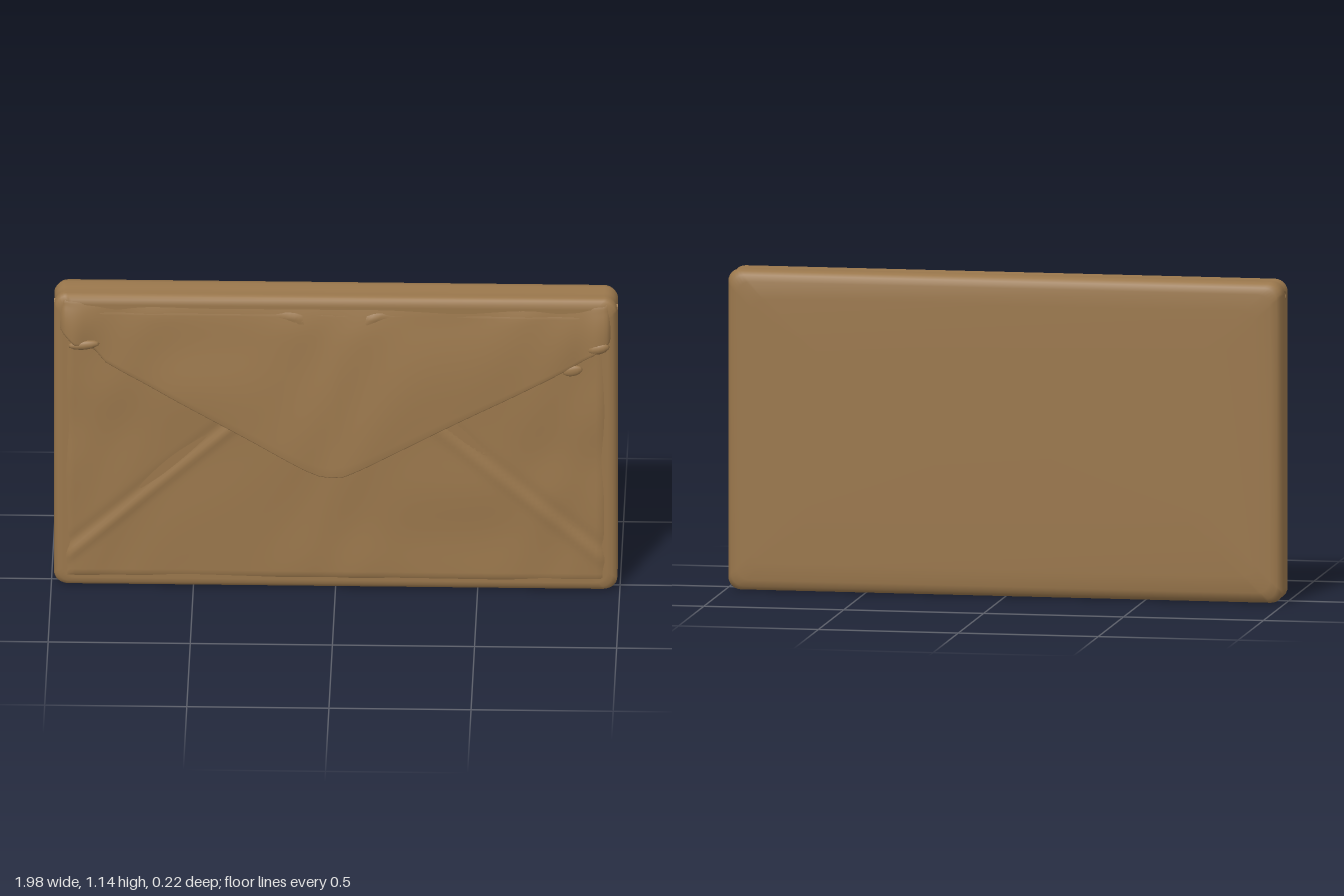
import * as THREE from 'three';
import { mergeVertices } from 'three/addons/utils/BufferGeometryUtils.js';

// Smooth surface over a grid; fn(u, v) gives [x, y, z], outside is u cross v
function surface(fn, nu, nv) {
  const pos = [], index = [];
  for (let j = 0; j <= nv; j++)
    for (let i = 0; i <= nu; i++) pos.push(...fn(i / nu, j / nv));
  const w = nu + 1;
  for (let j = 0; j < nv; j++)
    for (let i = 0; i < nu; i++) {
      const a = j * w + i, b = a + 1, c = a + w, d = c + 1;
      index.push(a, b, d, a, d, c);
    }
  let g = new THREE.BufferGeometry();
  g.setAttribute('position', new THREE.Float32BufferAttribute(pos, 3));
  g.setIndex(index);
  g = mergeVertices(g, 1e-5);
  g.computeVertexNormals();
  return g;
}

const bump = (d, width) => Math.exp(-(d * d) / (width * width));
const smooth = THREE.MathUtils.smoothstep;
const lerp = THREE.MathUtils.lerp;

// Gentle paper wrinkles
const wrinkle = (x, y) =>
  0.0018 * Math.sin(7 * x + 9 * y + 2 * Math.sin(5 * y - 3 * x)) +
  0.0012 * Math.sin(17 * x - 13 * y + 1.5 * Math.sin(8 * x));

// Signed distance from the line a-b (positive to its left)
function lineDistance(x, y, [ax, ay], [bx, by]) {
  const dx = bx - ax, dy = by - ay;
  return (dx * (y - ay) - dy * (x - ax)) / Math.hypot(dx, dy);
}

// Outline points of a rounded rectangle, counter-clockwise
function roundedRect(hw, hh, r, steps) {
  const pts = [];
  [[1, 1], [-1, 1], [-1, -1], [1, -1]].forEach(([sx, sy], k) => {
    for (let i = 0; i <= steps; i++) {
      const a = (k + i / steps) * Math.PI / 2;
      pts.push([sx * (hw - r) + r * Math.cos(a), sy * (hh - r) + r * Math.sin(a)]);
    }
  });
  return pts;
}

const MID_Y = 0.575;

// Padded body: rounded rectangles stacked from back to front as [z, inset]
function bodyGeometry() {
  const profile = [
    [-0.112, 2], [-0.112, 0.3], [-0.110, 0.10], [-0.106, 0.04], [-0.098, 0.017], [-0.085, 0.005],
    [-0.06, 0], [-0.02, 0.003], [0.005, 0.004], [0.03, 0.001], [0.045, 0.006],
    [0.053, 0.018], [0.057, 0.035], [0.057, 0.3], [0.057, 2],
  ];
  const n = 4 * 7;
  return surface((u, v) => {
    const [z, inset] = profile[Math.round(v * (profile.length - 1))];
    const hw = Math.max(0, 0.992 - inset), hh = Math.max(0, 0.57 - inset);
    const ring = roundedRect(hw, hh, Math.min(0.045, hw, hh), 6);
    const [x, y] = ring[Math.round(u * n) % n];
    return [x, y + MID_Y, z];
  }, n, profile.length - 1);
}

// Front paper with the diagonal seams of the folded pocket
function pocketGeometry() {
  return surface((u, v) => {
    const x = lerp(-0.965, 0.965, u), y = lerp(0.03, 1.11, v);
    const left = lineDistance(x, y, [-0.95, 0.12], [-0.38, 0.62]);
    const right = -lineDistance(x, y, [0.92, 0.15], [0.4, 0.6]);
    const edge = Math.min(0.965 - Math.abs(x), y - 0.03, 1.11 - y);
    const seams = 0.005 * (bump(left, 0.018) + bump(right, 0.018))
      - 0.004 * (bump(left - 0.035, 0.02) + bump(right - 0.035, 0.02));
    const z = 0.061 + wrinkle(x, y) + seams;
    return [x, y, lerp(0.045, z, smooth(edge, 0, 0.03))];
  }, 120, 70);
}

// Lower edge of the flap, from the left end to the right end
const flapEdge = new THREE.CurvePath();
const edgePoints = [
  [-0.992, 1.09], [-0.97, 1.02], [-0.92, 0.965], [-0.85, 0.945], [-0.81, 0.895], [-0.6, 0.775],
  [-0.3, 0.605], [-0.11, 0.495], [-0.06, 0.473], [-0.02, 0.468], [0.03, 0.473], [0.09, 0.5],
  [0.3, 0.61], [0.6, 0.765], [0.83, 0.89], [0.91, 0.945], [0.96, 0.98], [0.983, 1.04], [0.992, 1.09],
].map(([x, y]) => new THREE.Vector2(x, y));
for (let i = 1; i < edgePoints.length; i++)
  flapEdge.add(new THREE.LineCurve(edgePoints[i - 1], edgePoints[i]));

// Flap: one skin running down the back, round the lip and up the front
function flapGeometry() {
  const rows = 20, lip = 4, total = 2 * rows + lip;
  return surface((u, v) => {
    const { x, y: low } = flapEdge.getPoint(u);
    const k = Math.round(v * total);
    const t = k <= rows ? k / rows : k >= rows + lip ? (total - k) / rows : 1;
    const angle = Math.PI * THREE.MathUtils.clamp((k - rows) / lip, 0, 1);
    const ax = Math.abs(x);
    const top = 1.128 - 0.02 * smooth(ax, 0.95, 0.992);
    const lift = 0.068 + 0.043 * Math.max(0, 1 - ax / 0.85) + 0.016 * bump(ax - 0.92, 0.04);
    const y = lerp(top, low, t);
    let z = lerp(0.05, lift, Math.pow(t, 0.7));
    z += 1.4 * wrinkle(x, y) * smooth(t, 0, 0.2) + 0.006 * Math.sin(Math.PI * t);
    z -= 0.05 * smooth(ax, 0.955, 0.992);
    const half = 0.012;
    return [x, y - half * 0.5 * Math.sin(angle), z - half - half * Math.cos(angle)];
  }, 160, total);
}

// Small loose paper fold, bulging in the middle
function foldGeometry(w, h, d) {
  const g = new THREE.SphereGeometry(1, 12, 8);
  const p = g.attributes.position;
  for (let i = 0; i < p.count; i++) {
    const x = p.getX(i), y = p.getY(i);
    p.setXYZ(i, x * w, (y + 0.3 * x) * h, p.getZ(i) * d);
  }
  g.computeVertexNormals();
  return g;
}

export function createModel() {
  const group = new THREE.Group();
  group.name = 'envelope';
  const paper = new THREE.MeshStandardMaterial({ color: 0x9a774c });
  paper.name = 'brownPaper';

  const add = (name, geometry, x = 0, y = 0, z = 0) => {
    const mesh = new THREE.Mesh(geometry, paper);
    mesh.name = name;
    mesh.position.set(x, y, z);
    group.add(mesh);
  };

  add('body', bodyGeometry());
  add('frontPocket', pocketGeometry());
  add('flap', flapGeometry());

  // Crumpled ends of the flap
  add('rightCornerFold', foldGeometry(0.055, 0.018, 0.016), -0.885, 0.958, 0.066);
  add('leftCornerFold', foldGeometry(0.04, 0.022, 0.018), 0.925, 0.965, 0.066);
  add('looseTab', foldGeometry(0.035, 0.02, 0.01), 0.835, 0.875, 0.064);
  return group;
}
